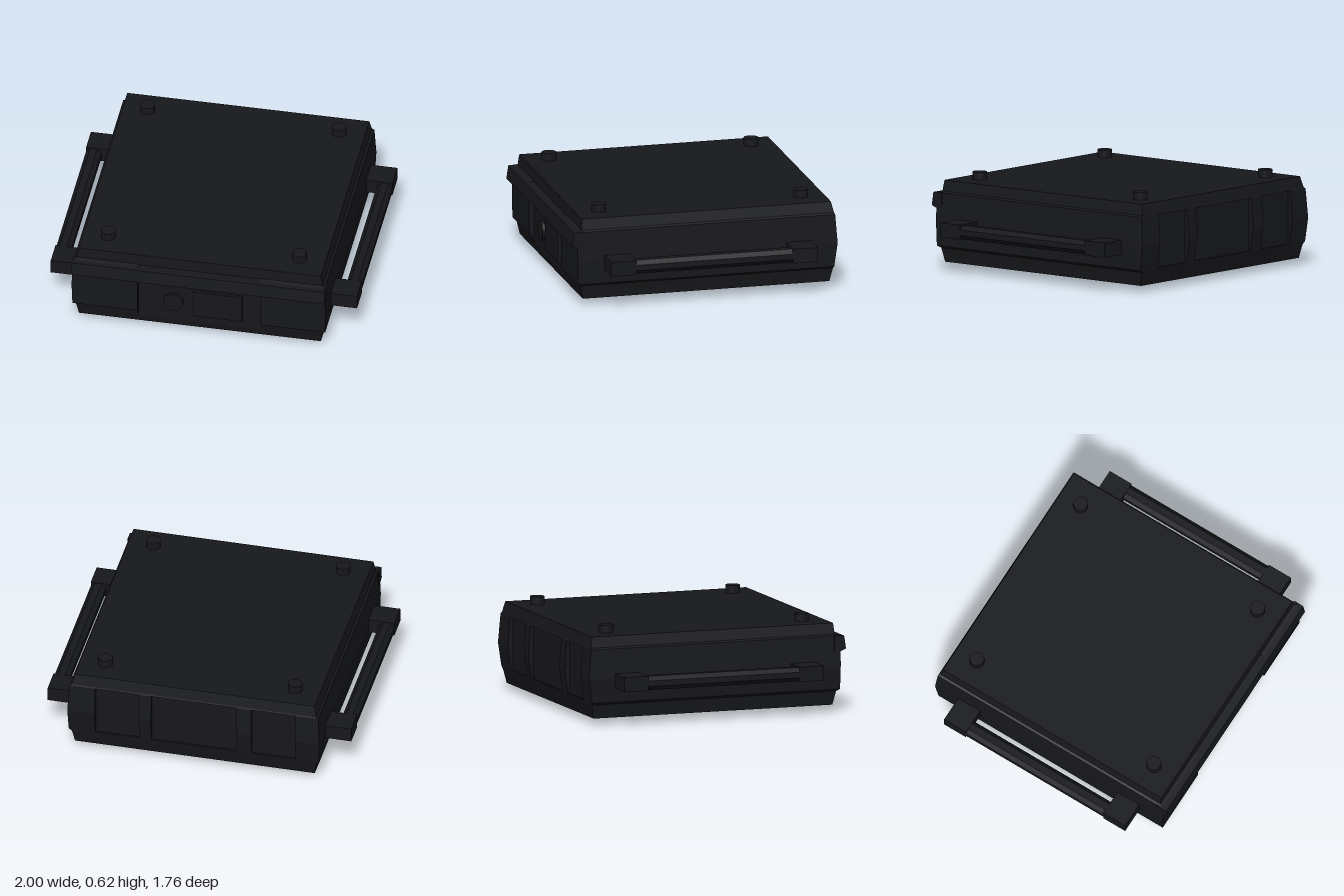
import * as THREE from 'three';

const dark = new THREE.MeshStandardMaterial({ color: 0x17181c, flatShading: true });

function add(parent, name, geometry, x = 0, y = 0, z = 0) {
  const mesh = new THREE.Mesh(geometry, dark);
  mesh.name = name;
  mesh.position.set(x, y, z);
  parent.add(mesh);
  return mesh;
}

// Casing outline at one height, with a recess in the front and three in the back
const backRecesses = [[0.65, 0.36], [0.28, -0.28], [-0.38, -0.67]];
function outline([y, hx, front, back, recessed]) {
  const nf = Math.min(front, 0.81);
  const nb = recessed ? -0.845 : back;
  const pts = [[-hx, front], [-0.4, front], [-0.4, nf], [0.4, nf], [0.4, front], [hx, front], [hx, back]];
  for (const [a, b] of backRecesses) pts.push([a, back], [a, nb], [b, nb], [b, back]);
  pts.push([-hx, back]);
  return pts.map(([x, z]) => new THREE.Vector3(x, y, z));
}

function casingGeometry() {
  // height, half width, front z, back z, back recessed
  const layers = [
    [0.04, 0.79, 0.80, -0.835, false],
    [0.085, 0.797, 0.81, -0.845, false],
    [0.13, 0.805, 0.82, -0.855, false],
    [0.145, 0.825, 0.84, -0.858, false],
    [0.145, 0.825, 0.84, -0.858, true],
    [0.30, 0.83, 0.843, -0.88, true],
    [0.49, 0.82, 0.845, -0.866, true],
    [0.49, 0.82, 0.845, -0.866, false],
    [0.50, 0.805, 0.81, -0.862, false],
    [0.57, 0.79, 0.805, -0.845, false],
  ];
  const rings = layers.map(outline);
  const pos = [];
  const tri = (a, b, c) => {
    const area = b.clone().sub(a).cross(c.clone().sub(a)).length();
    if (area > 1e-7) for (const p of [a, b, c]) pos.push(p.x, p.y, p.z);
  };
  const n = rings[0].length;
  for (let k = 0; k < rings.length - 1; k++) {
    for (let i = 0; i < n; i++) {
      const j = (i + 1) % n;
      const lo = rings[k], hi = rings[k + 1];
      tri(lo[i], lo[j], hi[j]);
      tri(lo[i], hi[j], hi[i]);
    }
  }
  // Flat bottom and top
  const corners = (r) => [r[0], r[5], r[6], r[n - 1]];
  const [a, b, c, d] = corners(rings[0]);
  tri(a, c, b);
  tri(a, d, c);
  const [e, f, g, h] = corners(rings[rings.length - 1]);
  tri(e, f, g);
  tri(e, g, h);
  const geo = new THREE.BufferGeometry();
  geo.setAttribute('position', new THREE.Float32BufferAttribute(pos, 3));
  geo.computeVertexNormals();
  return geo;
}

// Sweeps a (z, y) profile along x, centred
function lipGeometry(profile, width) {
  const shape = new THREE.Shape(profile.map(([z, y]) => new THREE.Vector2(-z, y)));
  const geo = new THREE.ExtrudeGeometry(shape, { depth: width, bevelEnabled: false });
  return geo.translate(0, 0, -width / 2).rotateY(Math.PI / 2);
}

// Chamfered bar along z
function barGeometry(w, h, chamfer, length) {
  const s = new THREE.Shape();
  const x = w / 2, y = h / 2, c = chamfer;
  s.moveTo(-x + c, -y);
  [[x - c, -y], [x, -y + c], [x, y - c], [x - c, y], [-x + c, y], [-x, y - c], [-x, -y + c]]
    .forEach(([u, v]) => s.lineTo(u, v));
  return new THREE.ExtrudeGeometry(s, { depth: length, bevelEnabled: false });
}

export function createModel() {
  const model = new THREE.Group();
  model.name = 'flatCaseUnit';

  add(model, 'casing', casingGeometry());

  // Overhanging front lip
  const lip = [[0.80, 0.39], [0.845, 0.39], [0.88, 0.405], [0.867, 0.49], [0.80, 0.495]];
  add(model, 'frontLip', lipGeometry(lip, 1.655));

  // Raised plate and round button in the front recess
  add(model, 'frontPlate', new THREE.BoxGeometry(0.32, 0.195, 0.04), 0.12, 0.2425, 0.81);
  const button = add(model, 'frontButton', new THREE.CylinderGeometry(0.066, 0.066, 0.04, 32), -0.17, 0.235, 0.81);
  button.rotation.x = Math.PI / 2;

  // Side handles
  for (const side of [1, -1]) {
    const handle = new THREE.Group();
    handle.name = side > 0 ? 'leftHandle' : 'rightHandle';
    for (const [z0, z1] of [[-0.705, -0.54], [0.50, 0.665]]) {
      add(handle, 'handleMount', new THREE.BoxGeometry(0.2, 0.095, z1 - z0), side * 0.9, 0.282, (z0 + z1) / 2);
    }
    add(handle, 'handleBar', barGeometry(0.1, 0.09, 0.027, 1.06), side * 0.95, 0.28, -0.55);
    model.add(handle);
  }

  // Studs on the top corners
  for (const x of [-0.627, 0.623]) {
    for (const z of [-0.69, 0.65]) {
      add(model, 'topStud', new THREE.CylinderGeometry(0.047, 0.047, 0.07, 24), x, 0.585, z);
    }
  }

  // Round base foot
  add(model, 'baseDisc', new THREE.CylinderGeometry(0.145, 0.145, 0.05, 40), -0.005, 0.025, -0.015);

  return model;
}
